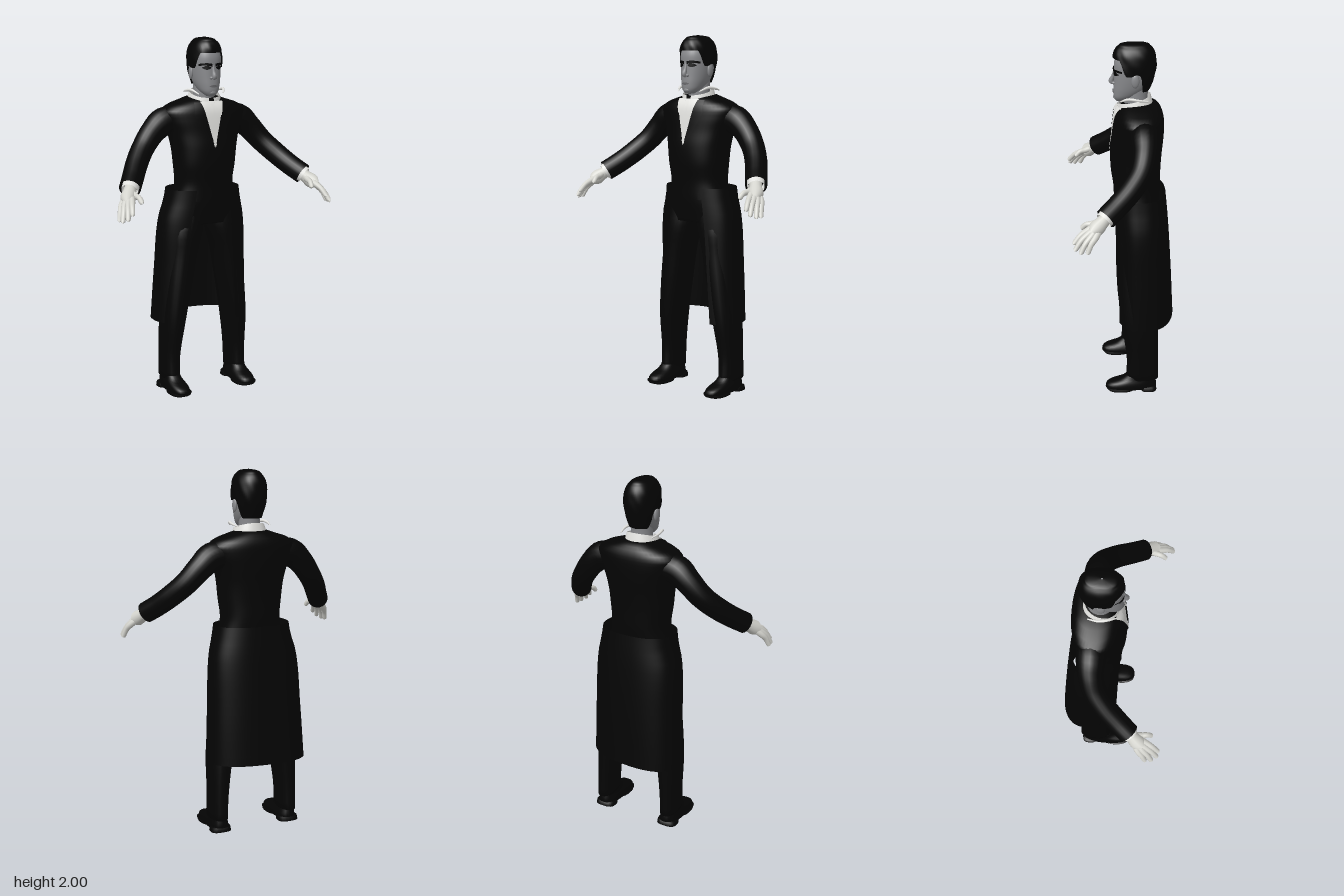
import * as THREE from 'three';

const mat = (name, color, side = THREE.FrontSide) => {
  const m = new THREE.MeshStandardMaterial({ color, side });
  m.name = name;
  return m;
};

// Grid surface from a rule fn(u, v); closed surfaces join the last column to the first
function sheet(nu, nv, fn, closed = false) {
  const pos = [], idx = [], cols = closed ? nu : nu + 1;
  for (let j = 0; j <= nv; j++)
    for (let i = 0; i < cols; i++) pos.push(...fn(i / nu, j / nv, j));
  for (let j = 0; j < nv; j++)
    for (let i = 0; i < nu; i++) {
      const k = (i + 1) % cols, a = j * cols + i, b = j * cols + k;
      idx.push(a, b, b + cols, a, b + cols, a + cols);
    }
  const g = new THREE.BufferGeometry();
  g.setAttribute('position', new THREE.Float32BufferAttribute(pos, 3));
  g.setIndex(idx);
  g.computeVertexNormals();
  return g;
}

// Body of horizontal sections; rows are [y, halfWidth, zFront, zBack, centreX]
function body(rows, p) {
  const smooth = new THREE.CubicInterpolant(rows.map(r => r[0]), rows.flatMap(r => [r[1], r[2], r[3], r[4] || 0]), 4);
  const at = y => [...smooth.evaluate(y)];
  const pw = c => Math.sign(c) * Math.abs(c) ** (2 / p);
  const point = (a, y, s = 1) => {
    const [h, f, b, cx] = at(y);
    return [cx + s * h * pw(Math.sin(a)), y, (f + b) / 2 + s * (f - b) / 2 * pw(Math.cos(a))];
  };
  const front = (x, y) => {
    const [h, f, b, cx] = at(y);
    const k = Math.min(1, Math.abs((x - cx) / h));
    return (f + b) / 2 + (f - b) / 2 * (1 - k ** p) ** (1 / p);
  };
  const y0 = rows[0][0], y1 = rows[rows.length - 1][0];
  const solid = (nu = 40, nv = 28) => sheet(nu, nv + 2, (u, v, j) => {
    const t = Math.min(1, Math.max(0, (j - 1) / nv));
    return point(u * Math.PI * 2, y0 + (y1 - y0) * t, j === 0 || j === nv + 2 ? 0 : 1);
  }, true);
  // Thin skin lying on the front; fn gives [x, y]
  const patch = (fn, off, nu = 10, nv = 12) => sheet(nu, nv, (u, v) => {
    const [x, y] = fn(u, v);
    return [x, y, front(x, y) + off];
  });
  return { point, solid, patch };
}

// Tube through points with a changing radius
function limb(pts, radii, seg = 24, sides = 16) {
  const path = new THREE.CatmullRomCurve3(pts.map(p => new THREE.Vector3(...p)));
  const rad = new THREE.CubicInterpolant(radii.map((_, i) => i / (radii.length - 1)), radii, 1);
  const g = new THREE.TubeGeometry(path, seg, 1, sides);
  const pos = g.attributes.position, v = new THREE.Vector3();
  for (let i = 0; i < pos.count; i++) {
    const s = Math.floor(i / (sides + 1)) / seg, c = path.getPointAt(s);
    v.fromBufferAttribute(pos, i).sub(c).multiplyScalar(rad.evaluate(path.getUtoTmapping(s))[0]).add(c);
    pos.setXYZ(i, v.x, v.y, v.z);
  }
  return g;
}

function mirrored(geo) {
  const g = geo.clone().scale(-1, 1, 1), ix = g.index.array;
  for (let i = 0; i < ix.length; i += 3) [ix[i], ix[i + 1]] = [ix[i + 1], ix[i]];
  return g;
}

const ball = (x, y, z, rx, ry, rz) => new THREE.SphereGeometry(1, 20, 14).scale(rx, ry, rz).translate(x, y, z);
const mix = THREE.MathUtils.lerp;

export function createModel() {
  const root = new THREE.Group();
  root.name = 'manInLongCoat';
  const black = mat('blackCloth', 0x040404, THREE.DoubleSide);
  const hairMat = mat('blackHair', 0x030303, THREE.DoubleSide);
  const shirtMat = mat('whiteShirt', 0xe2e2df, THREE.DoubleSide);
  const faceMat = mat('greyFace', 0x88898c);
  const lipMat = mat('darkGreyLips', 0x68686b, THREE.DoubleSide);
  const handMat = mat('paleHands', 0xd4d4ce);
  const add = (name, geo, m) => {
    const mesh = new THREE.Mesh(geo, m);
    mesh.name = name;
    root.add(mesh);
  };
  const pair = (name, geo, m) => {
    add(name + 'Left', geo, m);
    add(name + 'Right', mirrored(geo), m);
  };

  // Coat body
  const torso = body([
    [0.97, 0.18, 0.03, -0.19], [1.08, 0.185, 0.045, -0.195], [1.2, 0.166, 0.052, -0.205],
    [1.3, 0.176, 0.066, -0.207], [1.4, 0.188, 0.066, -0.213], [1.48, 0.208, 0.056, -0.22],
    [1.56, 0.238, 0.047, -0.222], [1.61, 0.24, 0.038, -0.217], [1.64, 0.19, 0.024, -0.205],
    [1.66, 0.125, 0.008, -0.19], [1.674, 0.085, -0.02, -0.17]], 2.35);
  add('coatBody', torso.solid(48, 40), black);

  // Shirt front, lapels, collar points and pocket flaps
  const vee = y => 0.066 * Math.min(1, (y - 1.385) / 0.26);
  add('shirtFront', torso.patch((u, v) => {
    const y = mix(1.387, 1.655, v);
    return [(u * 2 - 1) * vee(y), y];
  }, 0.005), shirtMat);
  add('shirtPlacket', torso.patch((u, v) => {
    const y = mix(1.41, 1.64, v);
    return [(u * 2 - 1) * Math.min(0.01, vee(y)), y];
  }, 0.008, 2), shirtMat);
  pair('lapel', torso.patch((u, v) => {
    const y = mix(1.385, 1.65, v);
    const w = 0.006 + 0.065 * Math.min(v / 0.7, 1) * (v > 0.75 ? 1 - (v - 0.75) * 2 : 1);
    return [vee(y) - 0.004 + u * w, y];
  }, 0.008), black);
  pair('collarPoint', torso.patch((u, v) => {
    const y = mix(1.575, 1.655, v);
    return [mix(0.045, 0.008 + 0.06 * u, v), y];
  }, 0.014, 6, 6), shirtMat);
  pair('pocketFlap', torso.patch((u, v) => [0.08 + 0.085 * u, 1.1 + 0.04 * v + 0.01 * u], 0.005, 6, 2), black);

  // Long open-fronted skirt of the coat, turned slightly towards its hem
  const skirt = body([
    [0.4, 0.275, 0.035, -0.292, -0.01], [0.7, 0.264, 0.042, -0.275, -0.007], [1.0, 0.247, 0.048, -0.253, -0.004],
    [1.1, 0.222, 0.05, -0.243], [1.165, 0.212, 0.05, -0.236]], 2.45);
  add('coatSkirt', sheet(56, 16, (u, v) => {
    const open = mix(0.56, 0.4, v);
    const [x, y, z] = skirt.point(mix(open, Math.PI * 2 - open, u), mix(0.4, 1.165, v));
    return [x, y, z + 0.08 * x * (1 - v)];
  }), black);

  // Trousers and shoes
  const leg = body([
    [0.07, 0.048, -0.006, -0.192, 0.212], [0.2, 0.051, -0.01, -0.19, 0.209], [0.4, 0.064, 0.015, -0.19, 0.195],
    [0.6, 0.075, 0.026, -0.188, 0.17], [0.8, 0.084, 0.03, -0.188, 0.142], [0.95, 0.1, 0.032, -0.188, 0.118],
    [1.06, 0.08, 0.015, -0.17, 0.09]], 2.3);
  pair('trouserLeg', leg.solid(28, 24), black);
  const shoe = body([
    [0.014, 0.058, 0.106, -0.178, 0.208], [0.03, 0.058, 0.11, -0.18, 0.208], [0.05, 0.054, 0.088, -0.178, 0.209],
    [0.068, 0.048, 0.03, -0.174, 0.21], [0.1, 0.042, -0.015, -0.168, 0.211]], 2.6);
  pair('shoe', shoe.solid(32, 10), black);
  const sole = body([[0.003, 0.061, 0.1, -0.06, 0.208], [0.018, 0.063, 0.112, -0.06, 0.208]], 2.5);
  pair('sole', sole.solid(28, 1), black);
  const heel = body([[0, 0.06, -0.09, -0.182, 0.21], [0.024, 0.056, -0.085, -0.18, 0.21]], 3);
  pair('heel', heel.solid(24, 1), black);

  // Sleeves, cuffs and hands
  pair('sleeve', limb([
    [0.14, 1.55, -0.1], [0.235, 1.54, -0.1], [0.3, 1.488, -0.098], [0.37, 1.407, -0.073],
    [0.433, 1.335, -0.015], [0.488, 1.272, 0.058], [0.534, 1.226, 0.122]],
  [0.075, 0.079, 0.069, 0.063, 0.061, 0.059, 0.058], 32, 20), black);
  pair('cuff', limb([[0.515, 1.245, 0.1], [0.532, 1.226, 0.122], [0.54, 1.218, 0.132]], [0.046, 0.046, 0.045], 4), shirtMat);
  pair('palm', limb([[0.515, 1.243, 0.1], [0.54, 1.215, 0.135], [0.568, 1.185, 0.175], [0.585, 1.163, 0.208]],
    [0.034, 0.034, 0.04, 0.008], 14), handMat);
  const fingers = [
    ['indexFinger', [0.56, 1.18, 0.21], [0.589, 1.12, 0.285]],
    ['middleFinger', [0.582, 1.166, 0.212], [0.612, 1.094, 0.28]],
    ['ringFinger', [0.598, 1.156, 0.2], [0.63, 1.082, 0.253]],
    ['littleFinger', [0.606, 1.152, 0.178], [0.635, 1.082, 0.219]],
    ['thumb', [0.53, 1.198, 0.19], [0.518, 1.17, 0.245]]];
  for (const [name, k, t] of fingers) {
    const mid = k.map((c, i) => mix(c, t[i], 0.55) + (i === 1 ? 0.01 : 0));
    const tip = k.map((c, i) => mix(c, t[i], 1.1));
    pair(name, limb([[0.54, 1.215, 0.135], k, mid, t, tip], [0.022, 0.017, 0.0145, 0.012, 0.001], 20, 10), handMat);
  }

  // Neck and shirt collar
  add('neck', body([[1.62, 0.062, -0.01, -0.145], [1.69, 0.058, -0.008, -0.135], [1.78, 0.056, -0.006, -0.14]], 2).solid(24, 6), faceMat);
  const collar = body([[1.6, 0.098, 0.034, -0.175], [1.66, 0.092, 0.024, -0.164], [1.73, 0.07, 0.008, -0.147]], 2.1);
  add('shirtCollar', sheet(32, 5, (u, v) => {
    const a = mix(0.15, Math.PI * 2 - 0.15, u), back = (1 - Math.cos(a)) / 2;
    return collar.point(a, mix(1.61 + 0.05 * back, 1.672 + 0.046 * back, v));
  }), shirtMat);
  pair('collarCurl', limb([[0.075, 1.695, 0.02], [0.098, 1.715, -0.025], [0.106, 1.71, -0.075], [0.095, 1.7, -0.13]],
    [0.003, 0.008, 0.007, 0.003], 14, 8), shirtMat);

  // Head and face
  const head = body([
    [1.682, 0.022, 0.036, -0.01], [1.7, 0.043, 0.047, -0.05], [1.735, 0.062, 0.05, -0.11], [1.78, 0.074, 0.048, -0.145],
    [1.84, 0.081, 0.046, -0.163], [1.9, 0.081, 0.044, -0.163], [1.95, 0.065, 0.02, -0.15], [1.985, 0.03, -0.02, -0.11]], 2.2);
  add('head', head.solid(36, 28), faceMat);
  add('noseBridge', limb([[0, 1.85, 0.042], [0, 1.815, 0.052], [0, 1.79, 0.061], [0, 1.774, 0.05]],
    [0.006, 0.01, 0.014, 0.005], 14, 12), faceMat);
  pair('nostril', ball(0.013, 1.783, 0.047, 0.009, 0.008, 0.012), faceMat);
  add('chin', ball(0, 1.703, 0.033, 0.024, 0.016, 0.018), faceMat);
  pair('ear', ball(0.084, 1.808, -0.062, 0.011, 0.036, 0.021), faceMat);
  add('lips', head.patch((u, v) => [(u * 2 - 1) * 0.027, 1.738 + (v - 0.5) * 0.014 * Math.sin(Math.PI * u)], 0.004, 12, 2), lipMat);
  pair('eyebrow', head.patch((u, v) => [0.009 + 0.061 * u,
    1.843 + 0.022 * u - 0.018 * u * u + v * (0.016 - 0.005 * u)], 0.006, 10, 2), hairMat);
  pair('eye', head.patch((u, v) => [0.013 + 0.046 * u, 1.838 + (v - 0.5) * 0.022 * Math.sin(Math.PI * u)], 0.005, 10, 2), hairMat);

  // Hair, with the hairline falling from the forehead to the nape
  const hair = body([
    [1.73, 0.066, 0.045, -0.138], [1.78, 0.08, 0.049, -0.158], [1.84, 0.089, 0.05, -0.176], [1.9, 0.09, 0.051, -0.18],
    [1.95, 0.079, 0.046, -0.17], [1.98, 0.057, 0.025, -0.148], [1.995, 0.032, -0.005, -0.12], [2, 0.004, -0.055, -0.065]], 2.2);
  const step = THREE.MathUtils.smoothstep;
  add('hair', sheet(64, 24, (u, v) => {
    const a = u * Math.PI * 2, d = Math.min(a, Math.PI * 2 - a);
    const low = 1.918 - 0.085 * step(d, 0.75, 1.2) + 0.01 * step(d, 1.4, 1.6) - 0.103 * step(d, 1.7, 2.2);
    const y = mix(low, 2, 1 - (1 - v) ** 1.5), [x, , z] = hair.point(a, y);
    const wave = 1 + 0.018 * Math.sin(a * 9 + y * 60) * (1 - v);
    return [x * wave, y, -0.06 + (z + 0.06) * wave];
  }, true), hairMat);

  return root;
}
